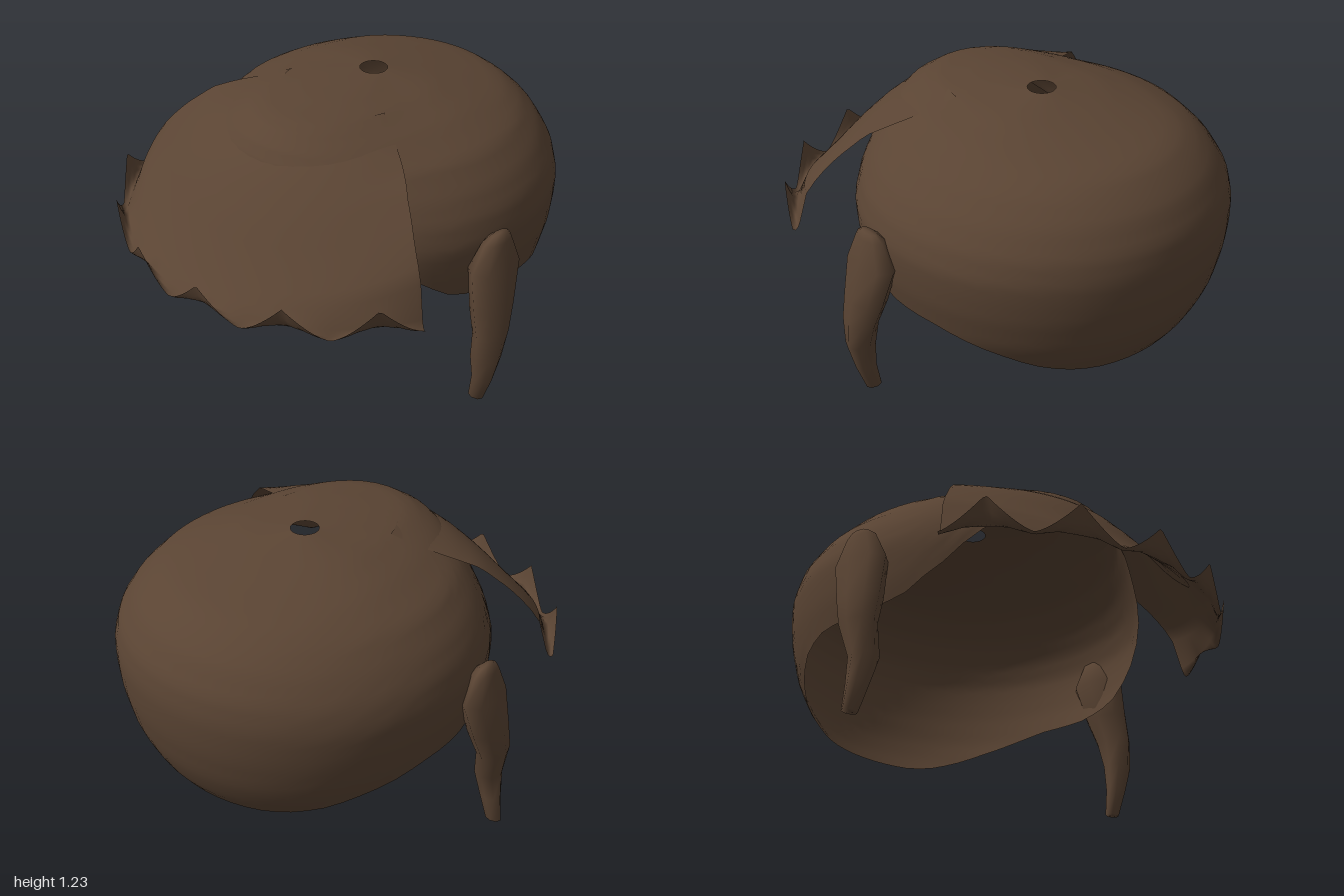
import * as THREE from 'three';

const { lerp, degToRad } = THREE.MathUtils;

// Piecewise-linear lookup in a list of [key, value] pairs with rising keys
function look(table, k) {
  if (k <= table[0][0]) return table[0][1];
  for (let i = 1; i < table.length; i++) {
    const [k0, v0] = table[i - 1], [k1, v1] = table[i];
    if (k <= k1) return lerp(v0, v1, (k - k0) / (k1 - k0));
  }
  return table[table.length - 1][1];
}

// Surface from fn(u, v) => [x, y, z]; u runs to the right, v runs down
function surface(cols, rows, closed, fn) {
  const pos = [], idx = [], n = closed ? cols : cols + 1;
  for (let j = 0; j <= rows; j++)
    for (let i = 0; i < n; i++) pos.push(...fn(i / cols, j / rows));
  for (let j = 0; j < rows; j++)
    for (let i = 0; i < cols; i++) {
      const k = (i + 1) % n;
      const a = j * n + i, b = a + n, c = j * n + k, d = c + n;
      idx.push(a, b, c, c, b, d);
    }
  const geo = new THREE.BufferGeometry();
  geo.setAttribute('position', new THREE.Float32BufferAttribute(pos, 3));
  geo.setIndex(idx);
  geo.computeVertexNormals();
  return geo;
}

// Cap: radius by height for the back, the sides and the bulging front
const LOWER = [[0.26, 0.66], [0.33, 0.71], [0.45, 0.765], [0.6, 0.8], [0.7, 0.81], [0.78, 0.812]];
const BACK = [...LOWER, [0.88, 0.795], [1.0, 0.73], [1.07, 0.655], [1.12, 0.585], [1.18, 0.32], [1.23, 0.06]];
const SIDE = [...LOWER, [0.88, 0.78], [0.97, 0.72], [1.07, 0.62], [1.15, 0.45], [1.2, 0.28], [1.23, 0.06]];
const FRONT = [...LOWER, [0.9, 0.79], [1.0, 0.765], [1.08, 0.73], [1.13, 0.69], [1.18, 0.61], [1.2, 0.54],
  [1.22, 0.36], [1.228, 0.19], [1.23, 0.06]];
// Height of the lower edge by cosine of the angle from the front
const RIM = [[-0.93, 0.26], [-0.84, 0.28], [-0.56, 0.39], [-0.34, 0.46], [-0.18, 0.49], [0.115, 0.495],
  [0.36, 0.53], [0.55, 0.65], [0.72, 0.82], [0.87, 0.96], [1, 1.04]];

function capPoint(u, v) {
  const a = u * Math.PI * 2, c = Math.cos(a);
  const y = 1.23 - (1.23 - look(RIM, c)) * Math.pow(v, 1.8);
  const r = c > 0
    ? lerp(look(SIDE, y), look(FRONT, y), Math.pow(c, 3))
    : lerp(look(SIDE, y), look(BACK, y), c * c);
  return [Math.sin(a) * r, y, -0.17 - 0.02 * v + c * r];
}

// Fringe: flared sheet, fuller at its sides, with a row of upturned points on its edge
const SLOPE = [[0.285, 1.2], [0.4, 1.155], [0.53, 1.09], [0.6, 1.03], [0.7, 0.92], [0.8, 0.79], [0.9, 0.68], [0.96, 0.64]];
const SIDE_SLOPE = [[0.285, 1.2], [0.4, 1.15], [0.55, 1.1], [0.65, 1.06], [0.78, 0.96], [0.87, 0.87], [0.92, 0.8], [0.96, 0.66]];
const SPREAD = [[0.285, 80], [0.4, 74.5], [0.53, 71], [0.68, 67], [0.82, 65], [0.96, 64.2]];

function fringePoint(u, v) {
  const across = u * 2 - 1;
  const r0 = lerp(0.285, 0.96, Math.min(1, v / 0.85));
  const deg = across * look(SPREAD, r0), a = degToRad(deg);
  const tooth = Math.pow(1 - Math.abs(((Math.abs(deg) / 21.4) % 1) * 2 - 1), 1.4);
  const curl = Math.max(0, (v - 0.85) / 0.15);
  const r = r0 + curl * (0.035 + 0.012 * tooth);
  const slope = lerp(look(SLOPE, r0), look(SIDE_SLOPE, r0), across * across);
  const y = slope - 0.02 * Math.sin(curl * Math.PI) + curl * (0.145 * tooth - 0.03);
  return [Math.sin(a) * r, y, Math.cos(a) * r];
}

// Side lock: rows of [y, xMin, xMax, zMin, zMax], closed at both ends
function lockGeometry(rows) {
  const flat = ([y, x0, x1, z0, z1]) => [y, (x0 + x1) / 2, (x0 + x1) / 2, (z0 + z1) / 2, (z0 + z1) / 2];
  const all = [flat(rows[0]), ...rows, flat(rows[rows.length - 1])];
  return surface(8, all.length - 1, true, (u, v) => {
    const [y, x0, x1, z0, z1] = all[Math.round(v * (all.length - 1))];
    const a = u * Math.PI * 2;
    return [(x0 + x1) / 2 + Math.sin(a) * (x1 - x0) / 2, y, (z0 + z1) / 2 + Math.cos(a) * (z1 - z0) / 2];
  });
}

const LOCK_TOP = [
  [0.83, 0.82, 0.86, -0.1, -0.01],
  [0.8, 0.79, 0.875, -0.13, 0.03],
  [0.68, 0.75, 0.905, -0.185, 0.09],
  [0.5, 0.775, 0.93, -0.13, 0.09],
  [0.38, 0.81, 0.94, -0.09, 0.09],
];
const LEFT_TIP = [
  [0.25, 0.805, 0.94, -0.045, 0.08],
  [0.13, 0.81, 0.91, -0.03, 0.055],
  [0, 0.79, 0.865, -0.02, 0.035],
];
const RIGHT_TIP = [
  [0.24, -0.915, -0.79, -0.045, 0.08],
  [0.12, -0.925, -0.825, -0.03, 0.055],
  [0, -0.94, -0.865, -0.02, 0.035],
];

export function createModel() {
  const group = new THREE.Group();
  const brown = new THREE.MeshStandardMaterial({ color: 0x5a4433, side: THREE.DoubleSide });
  brown.name = 'brown hair';
  const add = (name, geo) => {
    const mesh = new THREE.Mesh(geo, brown);
    mesh.name = name;
    group.add(mesh);
  };
  add('hairCap', surface(64, 32, true, capPoint));
  add('fringe', surface(128, 20, false, fringePoint));
  add('leftSideLock', lockGeometry([...LOCK_TOP, ...LEFT_TIP]));
  const mirrored = LOCK_TOP.map(([y, x0, x1, z0, z1]) => [y, -x1, -x0, z0, z1]);
  add('rightSideLock', lockGeometry([...mirrored, ...RIGHT_TIP]));
  return group;
}
